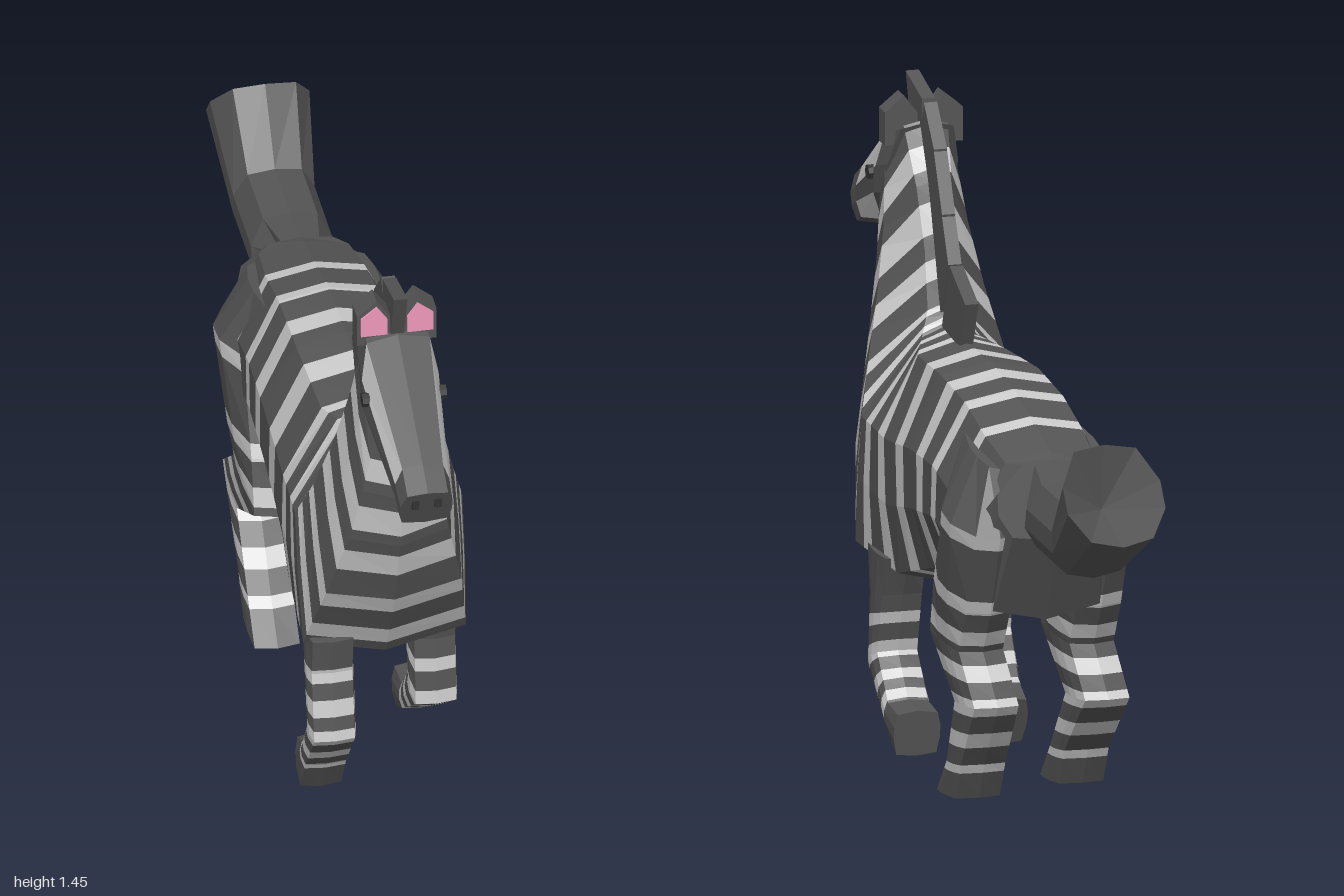
import * as THREE from 'three';

const mat = (color) => new THREE.MeshStandardMaterial({ color, flatShading: true });
const DARK = mat(0x555555), LIGHT = mat(0xcccccc), PINK = mat(0xee99bb), BLACK = mat(0x333333);

// A section is [topZ, topY, bottomZ, bottomY, halfWidths(top, mid, bottom), centreX].
const section = (tz, ty, bz, by, wt, wm = wt, wb = wm, cx = 0) => [tz, ty, bz, by, wt, wm, wb, cx];

function ring([tz, ty, bz, by, wt, wm, wb, cx]) {
  const half = [[0, 0], [wt, 0.05], [wm, 0.38], [wm, 0.65], [wb, 0.93], [0, 1]];
  const mirrored = half.slice(1, -1).reverse().map(([x, t]) => [-x, t]);
  return [...half, ...mirrored].map(([x, t]) =>
    new THREE.Vector3(cx + x, ty + (by - ty) * t, tz + (bz - tz) * t));
}

function sectionAt(sections, u) {
  const i = Math.min(Math.floor(u), sections.length - 2), f = u - i;
  return sections[i].map((v, k) => v + (sections[i + 1][k] - v) * f);
}

// Lofts the sections; bands are the [from, to] ranges that are light,
// and lightSide(u, j) can choose light facets around the ring instead.
function loft(name, sections, bands = [], lightSide = null) {
  const last = sections.length - 1;
  const cuts = [...new Set([...sections.keys(), ...bands.flat()])].sort((a, b) => a - b);
  const rings = cuts.map((u) => ring(sectionAt(sections, u)));
  const tris = { dark: [], light: [] };
  let volume = 0;
  const add = (key, a, b, c) => {
    tris[key].push([a, b, c]);
    volume += a.dot(b.clone().cross(c));
  };
  const n = rings[0].length;
  for (let i = 0; i < rings.length - 1; i++) {
    const u = (cuts[i] + cuts[i + 1]) / 2;
    const inBand = bands.some(([a, b]) => u > a && u < b);
    for (let j = 0; j < n; j++) {
      const k = (j + 1) % n, p = rings[i], q = rings[i + 1];
      const key = inBand || (lightSide && lightSide(u, j)) ? 'light' : 'dark';
      add(key, p[j], p[k], q[k]);
      add(key, p[j], q[k], q[j]);
    }
  }
  const cap = (r, flip) => {
    for (let j = 1; j < n - 1; j++) add('dark', r[0], r[flip ? j + 1 : j], r[flip ? j : j + 1]);
  };
  cap(rings[0], true);
  if (sections[last][5] > 0) cap(rings[rings.length - 1], false);

  const group = new THREE.Group();
  group.name = name;
  for (const [key, material] of [['dark', DARK], ['light', LIGHT]]) {
    if (!tris[key].length) continue;
    const pts = tris[key].flatMap(([a, b, c]) => (volume < 0 ? [a, c, b] : [a, b, c]));
    const geo = new THREE.BufferGeometry().setFromPoints(pts);
    geo.computeVertexNormals();
    const mesh = new THREE.Mesh(geo, material);
    mesh.name = name + (key === 'dark' ? 'Coat' : 'Stripes');
    group.add(mesh);
  }
  return group;
}

function plate(name, points, depth, material) {
  const shape = new THREE.Shape(points.map(([x, y]) => new THREE.Vector2(x, y)));
  const geo = new THREE.ExtrudeGeometry(shape, { depth, bevelEnabled: false });
  geo.translate(0, 0, -depth / 2);
  const mesh = new THREE.Mesh(geo, material);
  mesh.name = name;
  return mesh;
}

export function createModel() {
  const model = new THREE.Group();
  model.name = 'zebra';

  // Torso and neck: the sections fan round from the rump up to the head
  model.add(loft('body', [
    section(-0.43, 0.865, -0.46, 0.69, 0.07, 0.13, 0.1),
    section(-0.40, 0.875, -0.37, 0.49, 0.10, 0.16, 0.12),
    section(-0.27, 0.905, -0.22, 0.50, 0.11, 0.18, 0.13),
    section(-0.12, 0.94, -0.08, 0.515, 0.11, 0.18, 0.13),
    section(0.08, 0.955, 0.06, 0.47, 0.11, 0.18, 0.14),
    section(0.30, 0.945, 0.24, 0.41, 0.10, 0.18, 0.16),
    section(0.40, 0.955, 0.52, 0.415, 0.06, 0.185, 0.18),
    section(0.42, 1.00, 0.63, 0.62, 0.04, 0.155, 0.15),
    section(0.46, 1.12, 0.69, 0.80, 0.035, 0.12, 0.11),
    section(0.51, 1.25, 0.715, 0.94, 0.04, 0.095, 0.085),
    section(0.58, 1.37, 0.72, 1.09, 0.05, 0.08, 0.06),
  ], [[1.95, 2.2], [2.8, 3.05], [3.45, 3.75], [4.3, 4.6], [5.05, 5.3], [5.6, 5.8], [6.15, 6.4],
    [6.75, 7], [7.45, 7.8], [8.2, 8.7], [9.2, 9.6]]));

  // Head, with stripes running lengthwise along the cheeks
  model.add(loft('head', [
    section(0.57, 1.365, 0.68, 1.10, 0.06, 0.08, 0.06),
    section(0.66, 1.335, 0.73, 1.095, 0.07, 0.085, 0.06),
    section(0.94, 1.18, 0.925, 1.055, 0.045, 0.06, 0.05),
    section(1.00, 1.145, 0.955, 1.04, 0.045, 0.058, 0.05),
  ], [], (u, j) => u > 1 && u < 2 && [1, 3, 6, 8].includes(j)));

  // Tail, flaring into a hollow tuft
  model.add(loft('tail', [
    section(-0.42, 0.86, -0.45, 0.76, 0.04),
    section(-0.55, 0.85, -0.50, 0.68, 0.06, 0.09, 0.06),
    section(-0.72, 0.85, -0.75, 0.68, 0.06, 0.09, 0.06),
    section(-0.83, 1.00, -0.99, 0.81, 0.07, 0.11, 0.07),
    section(-0.81, 0.85, -0.81, 0.85, 0),
  ]));

  // Front legs, each at its own point of the gallop
  const foreleg = (name, cx, rows, bands) => model.add(loft(name,
    rows.map(([fz, fy, kz, ky]) => section(fz, fy, kz, ky, 0.045, 0.052, 0.045, cx)), bands));
  foreleg('rightFrontLeg', -0.12, [
    [0.55, 0.47, 0.42, 0.47], [0.535, 0.38, 0.455, 0.38], [0.565, 0.22, 0.49, 0.24],
    [0.46, 0.09, 0.43, 0.14], [0.41, 0, 0.365, 0.115],
  ], [[0.9, 1.15], [1.4, 1.65], [1.85, 2.15], [2.45, 2.7], [2.95, 3.15]]);
  foreleg('leftFrontLeg', 0.13, [
    [0.44, 0.47, 0.27, 0.47], [0.42, 0.36, 0.31, 0.38], [0.435, 0.20, 0.35, 0.245],
    [0.27, 0.08, 0.27, 0.155], [0.205, 0.045, 0.19, 0.15],
  ], [[1.3, 1.5], [1.8, 2.1], [2.35, 2.55], [2.75, 2.95]]);

  // Hind legs: broad thigh, bent hock, and a foot reaching forward
  for (const [name, s, dz] of [['leftHindLeg', 1, -0.03], ['rightHindLeg', -1, 0.03]]) {
    model.add(loft(name, [
      section(-0.17, 0.87, -0.39, 0.84, 0.02, 0.03, 0.02, 0.11 * s),
      section(-0.17, 0.74, -0.45, 0.70, 0.05, 0.085, 0.05, 0.125 * s),
      section(-0.08, 0.53, -0.37, 0.51, 0.05, 0.07, 0.05, 0.125 * s),
      section(-0.05, 0.40, -0.31, 0.41, 0.05, 0.056, 0.05, 0.125 * s),
      section(-0.25, 0.29, -0.43, 0.315, 0.05, 0.055, 0.05, 0.125 * s),
      section(-0.16 + dz, 0.14, -0.29 + dz, 0.16, 0.05, 0.055, 0.05, 0.125 * s),
      section(-0.08 + dz, 0.055, -0.25 + dz, 0.075, 0.05, 0.055, 0.05, 0.125 * s),
    ], [[1, 1.17], [1.85, 2.05], [2.5, 2.85], [3.25, 3.55], [3.85, 4.15], [4.45, 4.7], [5, 5.25]]));
  }

  // Mane: thin blades down the back of the neck, in (z, y)
  const mane = new THREE.Group();
  mane.name = 'mane';
  [
    [[0.695, 1.45], [0.565, 1.42], [0.56, 1.30], [0.65, 1.32]],
    [[0.55, 1.415], [0.47, 1.33], [0.50, 1.17], [0.58, 1.33]],
    [[0.47, 1.325], [0.405, 1.20], [0.45, 1.05], [0.52, 1.20]],
    [[0.405, 1.195], [0.355, 1.10], [0.42, 0.97], [0.48, 1.10]],
    [[0.345, 1.10], [0.22, 1.045], [0.265, 0.94], [0.41, 0.94]],
  ].forEach((points, i) => {
    const blade = plate(`maneBlade${i + 1}`, points, 0.03, DARK);
    blade.rotation.y = -Math.PI / 2;
    mane.add(blade);
  });
  model.add(mane);

  for (const [side, s] of [['left', 1], ['right', -1]]) {
    // Ears with pink lining
    const flip = (pts) => pts.map(([x, y]) => [x * s, y]);
    const ear = plate(`${side}Ear`, flip([[0.015, 1.31], [0.088, 1.31], [0.088, 1.385], [0.045, 1.42], [0.015, 1.38]]), 0.05, DARK);
    ear.position.z = 0.625;
    const lining = plate(`${side}EarLining`, flip([[0.022, 1.335], [0.08, 1.335], [0.08, 1.38], [0.045, 1.408], [0.022, 1.375]]), 0.01, PINK);
    lining.position.z = 0.65;
    model.add(ear, lining);

    // Eyes and nostrils
    const eye = new THREE.Mesh(new THREE.CylinderGeometry(0.016, 0.016, 0.02, 8), BLACK);
    eye.name = `${side}Eye`;
    eye.rotation.z = Math.PI / 2;
    eye.position.set(0.083 * s, 1.22, 0.727);
    const nostril = new THREE.Mesh(new THREE.BoxGeometry(0.016, 0.022, 0.012), BLACK);
    nostril.name = `${side}Nostril`;
    nostril.position.set(0.025 * s, 1.11, 0.985);
    model.add(eye, nostril);
  }
  return model;
}
